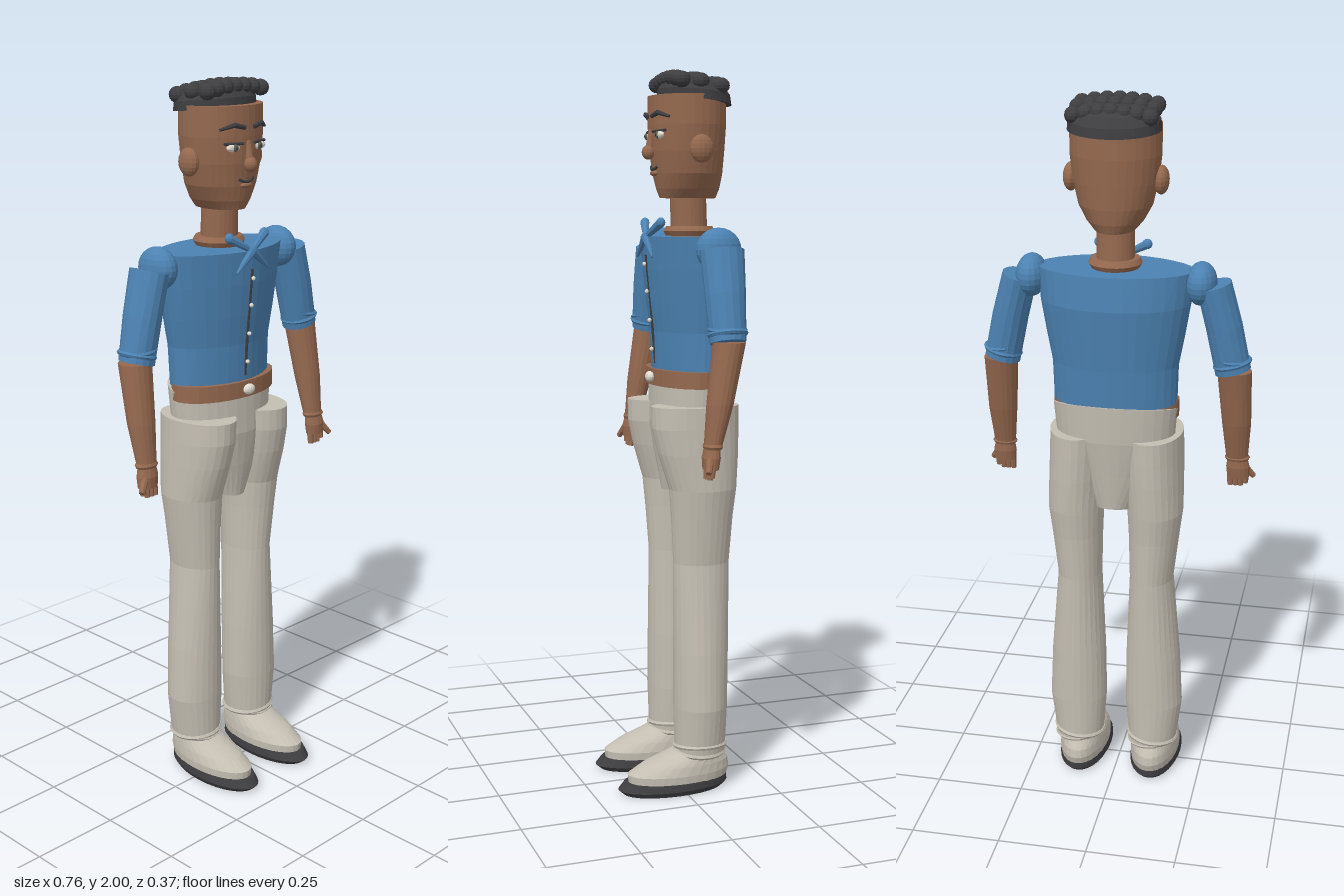
import * as THREE from 'three';

const paint = (name, color) => {
  const m = new THREE.MeshStandardMaterial({ color, flatShading: true });
  m.name = name;
  return m;
};

// Stacked oval rings [y, cx, cz, rx, rz], bottom to top, with flat end caps.
// tiltX / tiltZ slope each ring; frontPower below 2 makes the front more pointed.
function loft(rings, { segs = 28, tiltX = 0, tiltZ = 0, frontPower = 2 } = {}) {
  const pos = [], idx = [];
  for (const [y, cx, cz, rx, rz] of rings) {
    for (let i = 0; i < segs; i++) {
      const a = (i / segs) * Math.PI * 2, c = Math.cos(a), s = Math.sin(a);
      const e = s > 0 ? 2 / frontPower : 1;
      const dx = Math.sign(c) * Math.abs(c) ** e * rx, dz = Math.sign(s) * Math.abs(s) ** e * rz;
      pos.push(cx + dx, y + dx * tiltX + dz * tiltZ, cz + dz);
    }
  }
  for (let r = 0; r < rings.length - 1; r++) {
    for (let i = 0; i < segs; i++) {
      const a = r * segs + i, b = r * segs + ((i + 1) % segs);
      idx.push(a, a + segs, b, b, a + segs, b + segs);
    }
  }
  const top = (rings.length - 1) * segs, n = rings.length * segs;
  for (const r of [rings[0], rings[rings.length - 1]]) pos.push(r[1], r[0], r[2]);
  for (let i = 0; i < segs; i++) {
    const j = (i + 1) % segs;
    idx.push(n, i, j, n + 1, top + j, top + i);
  }
  const g = new THREE.BufferGeometry();
  g.setAttribute('position', new THREE.Float32BufferAttribute(pos, 3));
  g.setIndex(idx);
  g.computeVertexNormals();
  return g;
}

export function createModel() {
  const model = new THREE.Group();
  model.name = 'standingMan';
  const skin = paint('skin', 0x95694f);
  const shirt = paint('shirtBlue', 0x4c82b2);
  const trousers = paint('trouserGrey', 0xc4beb2);
  const dark = paint('charcoal', 0x3e3e41);
  const white = paint('eyeWhite', 0xe2ded4);
  const iris = paint('irisGreen', 0x5f6650);

  const add = (name, geo, mat) => {
    const m = new THREE.Mesh(geo, mat);
    m.name = name;
    model.add(m);
    return m;
  };
  const ball = (name, mat, p, r, w = 14, h = 10) => {
    const m = add(name, new THREE.SphereGeometry(1, w, h), mat);
    m.position.set(...p);
    m.scale.set(...r);
    return m;
  };
  const rod = (name, mat, from, to, r0, r1 = r0, segs = 8) => {
    const a = new THREE.Vector3(...from), b = new THREE.Vector3(...to), d = b.clone().sub(a);
    const m = add(name, new THREE.CylinderGeometry(r1, r0, d.length(), segs), mat);
    m.position.copy(a).lerp(b, 0.5);
    m.quaternion.setFromUnitVectors(new THREE.Vector3(0, 1, 0), d.normalize());
    return m;
  };
  const hoop = (name, mat, p, rx, rz, tube, tilt = 0) => {
    const g = new THREE.TorusGeometry(1, tube / rx, 6, 24).rotateX(Math.PI / 2);
    const m = add(name, g.scale(rx, rx, rz), mat);
    m.position.set(...p);
    m.rotation.z = tilt;
    return m;
  };

  // Shirt body, belt and hips
  add('torso', loft([
    [1.18, 0, -0.062, 0.17, 0.098], [1.29, 0, -0.064, 0.173, 0.104],
    [1.37, 0, -0.063, 0.188, 0.113], [1.46, 0, -0.063, 0.203, 0.122],
    [1.55, 0, -0.056, 0.212, 0.12]], { segs: 32, frontPower: 1.75 }), shirt);
  add('belt', loft([[1.14, 0, -0.052, 0.174, 0.098], [1.186, 0, -0.052, 0.174, 0.098]], { segs: 32 }), skin);
  ball('buckle', white, [0, 1.163, 0.052], [0.02, 0.015, 0.012]);
  add('hips', loft([
    [0.86, 0, -0.06, 0.06, 0.075], [0.96, 0, -0.06, 0.11, 0.09],
    [1.06, 0, -0.062, 0.163, 0.104], [1.165, 0, -0.066, 0.172, 0.106]], { tiltZ: -0.23, segs: 32 }), trousers);

  // Placket, buttons and collar points
  rod('placket', dark, [0, 1.2, 0.035], [0, 1.36, 0.048], 0.004);
  rod('placket', dark, [0, 1.36, 0.048], [0, 1.5, 0.062], 0.004);
  for (const [y, z] of [[1.24, 0.046], [1.32, 0.052], [1.4, 0.06], [1.475, 0.067]]) {
    ball('button', white, [0, y, z], [0.006, 0.006, 0.006], 8, 6);
  }
  ball('collarKnot', shirt, [0, 1.55, 0.062], [0.018, 0.014, 0.012]);
  for (const s of [-1, 1]) {
    rod('collarFlap', shirt, [0, 1.55, 0.062], [s * 0.068, 1.588, 0.042], 0.008, 0.013);
    ball('collarTip', shirt, [s * 0.066, 1.588, 0.042], [0.014, 0.014, 0.012], 10, 8);
    rod('collarPoint', shirt, [0, 1.55, 0.062], [s * 0.062, 1.495, 0.066], 0.014, 0.003);
  }

  // Neck and head
  rod('neck', skin, [0, 1.54, -0.065], [0, 1.7, -0.06], 0.051, 0.05, 24);
  hoop('neckBand', skin, [0, 1.565, -0.065], 0.057, 0.057, 0.015);
  add('head', loft([
    [1.655, 0, -0.06, 0.055, 0.08], [1.68, 0, -0.06, 0.076, 0.089], [1.72, 0, -0.059, 0.098, 0.096],
    [1.78, 0, -0.057, 0.112, 0.102], [1.85, 0, -0.057, 0.12, 0.106], [1.93, 0, -0.057, 0.12, 0.106]],
  { segs: 32 }), skin);
  ball('nose', skin, [0, 1.778, 0.055], [0.018, 0.02, 0.018]);
  rod('noseBridge', skin, [0, 1.78, 0.052], [0, 1.84, 0.046], 0.013, 0.007);
  const smile = new THREE.QuadraticBezierCurve3(
    new THREE.Vector3(-0.027, 1.74, 0.037), new THREE.Vector3(0, 1.722, 0.048), new THREE.Vector3(0.027, 1.74, 0.037));
  add('mouth', new THREE.TubeGeometry(smile, 10, 0.004, 6), dark);
  ball('lowerLip', skin, [0, 1.722, 0.038], [0.02, 0.008, 0.01]);
  for (const s of [-1, 1]) {
    ball('ear', skin, [s * 0.119, 1.785, -0.056], [0.021, 0.038, 0.034]);
    ball('eye', white, [s * 0.047, 1.823, 0.038], [0.025, 0.011, 0.009]);
    ball('iris', iris, [s * 0.045, 1.823, 0.043], [0.01, 0.01, 0.007], 10, 8);
    ball('pupil', dark, [s * 0.045, 1.823, 0.047], [0.005, 0.005, 0.005], 8, 6);
    rod('eyelid', dark, [s * 0.02, 1.833, 0.049], [s * 0.075, 1.834, 0.032], 0.004);
    rod('eyebrow', dark, [s * 0.016, 1.874, 0.05], [s * 0.05, 1.882, 0.045], 0.006, 0.007);
    rod('eyebrow', dark, [s * 0.05, 1.882, 0.045], [s * 0.084, 1.87, 0.024], 0.007, 0.004);
  }

  // Hair cap with three rows of curls
  add('hairCap', loft([
    [1.915, 0, -0.078, 0.122, 0.1], [1.94, 0, -0.077, 0.12, 0.097],
    [1.962, 0, -0.075, 0.105, 0.082], [1.978, 0, -0.073, 0.07, 0.05]], { tiltZ: 0.1, segs: 32 }), dark);
  for (const [z, y] of [[-0.118, 1.953], [-0.06, 1.964], [-0.006, 1.967]]) {
    for (let i = -3; i <= 3; i++) {
      ball('curl', dark, [i * 0.033, y + 0.01 * (1 - (i / 3) ** 2), z], [0.022, 0.022, 0.025], 12, 8);
    }
  }

  for (const s of [-1, 1]) {
    // Arm
    ball('shoulder', shirt, [s * 0.229, 1.517, -0.062], [0.042, 0.058, 0.063], 18, 12);
    add('sleeve', loft([
      [1.278, s * 0.318, -0.054, 0.048, 0.048], [1.4, s * 0.292, -0.056, 0.048, 0.055],
      [1.515, s * 0.262, -0.059, 0.046, 0.06]], { segs: 16, tiltX: s * 0.25 }), shirt);
    hoop('sleeveFold', shirt, [s * 0.316, 1.3, -0.054], 0.047, 0.047, 0.007, s * 0.25);
    hoop('sleeveFold', shirt, [s * 0.314, 1.312, -0.054], 0.046, 0.047, 0.006, s * -0.1);
    add('forearm', loft([
      [1.01, s * 0.331, -0.008, 0.03, 0.023], [1.12, s * 0.329, -0.028, 0.04, 0.035],
      [1.28, s * 0.322, -0.056, 0.047, 0.043]], { segs: 18 }), skin);
    hoop('wrist', skin, [s * 0.332, 1.01, -0.007], 0.027, 0.02, 0.008);
    add('palm', loft([
      [0.95, s * 0.335, 0, 0.031, 0.02], [0.98, s * 0.334, -0.002, 0.033, 0.024],
      [1.015, s * 0.332, -0.006, 0.026, 0.02]], { segs: 14 }), skin);
    for (let i = 0; i < 4; i++) {
      const x = s * (0.313 + i * 0.014);
      rod('finger', skin, [x, 0.965, 0], [x, 0.922 + (i === 3 ? 0.008 : 0), 0.004], 0.01, 0.008);
    }
    rod('thumb', skin, [s * 0.345, 0.985, 0.004], [s * 0.376, 0.945, 0.021], 0.012, 0.008);

    // Trouser leg
    add('leg', loft([
      [0.11, s * 0.11, -0.058, 0.07, 0.072], [0.24, s * 0.113, -0.058, 0.083, 0.075],
      [0.4, s * 0.11, -0.06, 0.078, 0.077], [0.65, s * 0.104, -0.063, 0.062, 0.08],
      [0.78, s * 0.11, -0.063, 0.071, 0.088], [0.86, s * 0.113, -0.064, 0.078, 0.096],
      [0.96, s * 0.108, -0.052, 0.081, 0.115], [1.03, s * 0.104, -0.045, 0.083, 0.124],
      [1.09, s * 0.102, -0.045, 0.083, 0.125]]), trousers);
    hoop('hemFold', trousers, [s * 0.11, 0.125, -0.058], 0.07, 0.071, 0.007, 0.1);
    hoop('hemFold', trousers, [s * 0.11, 0.112, -0.056], 0.068, 0.069, 0.007, -0.12);

    // Shoe
    add('sole', loft([
      [0, s * 0.108, 0.022, 0.068, 0.145], [0.014, s * 0.108, 0.022, 0.075, 0.161],
      [0.034, s * 0.108, 0.014, 0.071, 0.152]]), dark);
    add('shoe', loft([
      [0.03, s * 0.108, 0.008, 0.07, 0.145], [0.055, s * 0.108, 0.005, 0.071, 0.15],
      [0.08, s * 0.108, -0.015, 0.066, 0.126], [0.1, s * 0.108, -0.038, 0.06, 0.09],
      [0.118, s * 0.109, -0.055, 0.055, 0.062]]), trousers);
  }
  return model;
}
